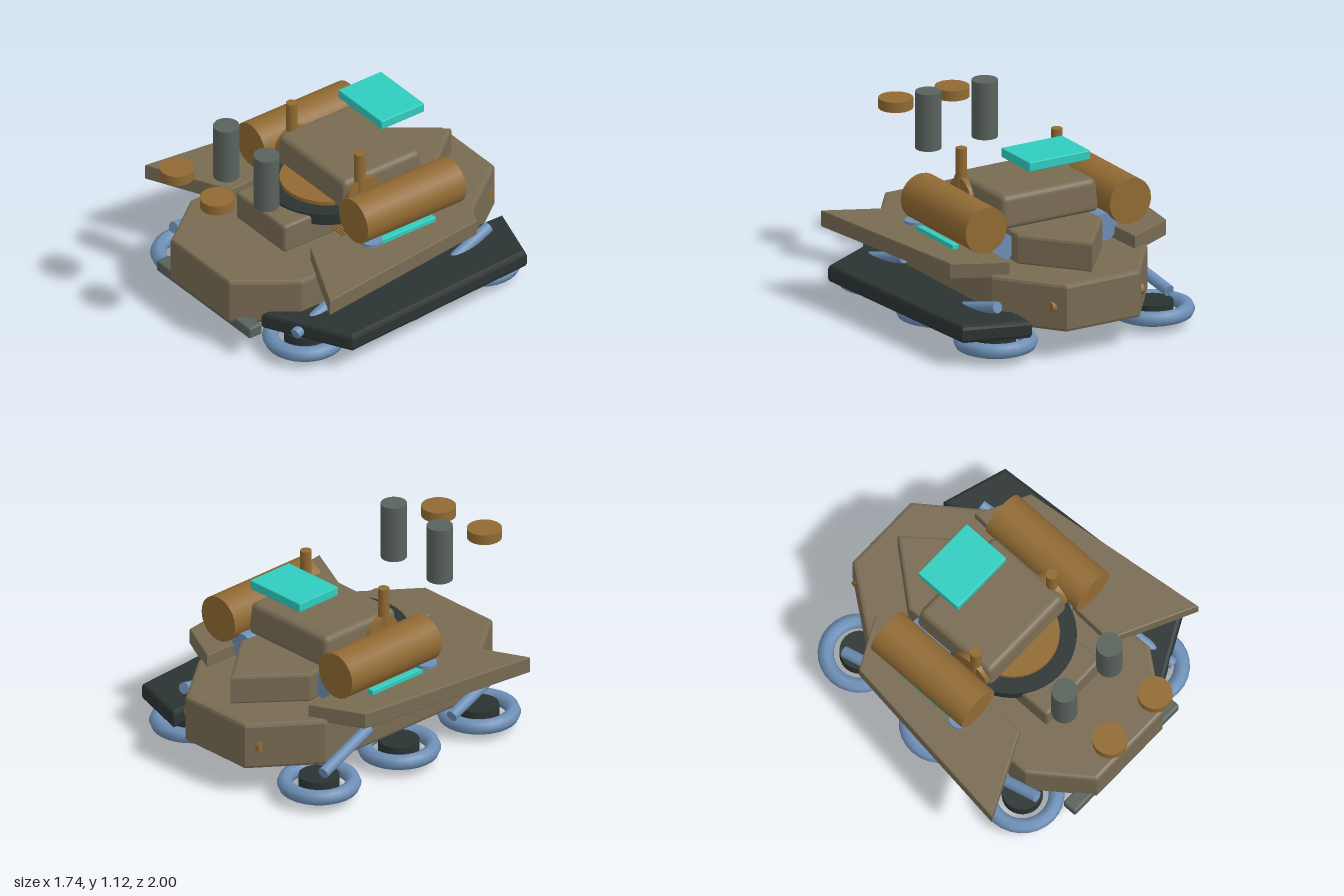
import * as THREE from 'three';
import { RoundedBoxGeometry } from 'three/addons/geometries/RoundedBoxGeometry.js';

const mat = (name, color) => {
  const m = new THREE.MeshStandardMaterial({ color });
  m.name = name;
  return m;
};

export function createModel() {
  const tan = mat('tan armour', 0x786b53);
  const ochre = mat('ochre fittings', 0x916a33);
  const blue = mat('blue running gear', 0x6d8fb6);
  const grey = mat('grey metal', 0x59625c);
  const dark = mat('dark rubber', 0x2b3433);
  const cyan = mat('cyan panel', 0x2fccbf);

  const CX = -0.02; // centre line of the vehicle
  const model = new THREE.Group();
  model.name = 'vehicle';

  const add = (name, geometry, material, x = 0, y = 0, z = 0) => {
    const mesh = new THREE.Mesh(geometry, material);
    mesh.name = name;
    mesh.position.set(x, y, z);
    model.add(mesh);
    return mesh;
  };

  // Bevelled plate from an [x, z] outline, between two heights
  const plate = (name, material, outline, y0, y1, bevel = 0.018) => {
    const shape = new THREE.Shape(outline.map(([x, z]) => new THREE.Vector2(x, -z)));
    const geometry = new THREE.ExtrudeGeometry(shape, {
      depth: y1 - y0 - 2 * bevel, bevelEnabled: true, bevelSize: bevel,
      bevelThickness: bevel, bevelOffset: -bevel, bevelSegments: 2,
    });
    geometry.rotateX(-Math.PI / 2);
    return add(name, geometry, material, 0, y0 + bevel, 0);
  };

  const box = (name, material, [x0, x1], [y0, y1], [z0, z1], r = 0.012) =>
    add(name, new RoundedBoxGeometry(x1 - x0, y1 - y0, z1 - z0, 2, r), material,
      (x0 + x1) / 2, (y0 + y1) / 2, (z0 + z1) / 2);

  // Upright cylinder between two heights
  const post = (name, material, x, z, r, y0, y1, sides = 24) =>
    add(name, new THREE.CylinderGeometry(r, r, y1 - y0, sides), material, x, (y0 + y1) / 2, z);

  // Cylinder between two points
  const rod = (name, material, a, b, r, sides = 16) => {
    const p = new THREE.Vector3(...a), q = new THREE.Vector3(...b);
    const dir = q.clone().sub(p);
    const mesh = add(name, new THREE.CylinderGeometry(r, r, dir.length(), sides), material);
    mesh.position.copy(p).add(q).multiplyScalar(0.5);
    mesh.quaternion.setFromUnitVectors(new THREE.Vector3(0, 1, 0), dir.normalize());
    return mesh;
  };

  // Mirror half an outline about the centre line
  const mirrored = (half) => [
    ...half.map(([x, z]) => [CX + x, z]),
    ...half.slice().reverse().map(([x, z]) => [CX - x, z]),
  ];

  // Hull with cut corners, rear bolts and front bumper
  plate('hull', tan, mirrored([[0.24, -1], [0.512, -0.64], [0.512, 0.56], [0.27, 0.88]]), 0.17, 0.45, 0.02);
  rod('rearBolts', ochre, [-0.32, 0.31, -0.92], [0.28, 0.31, -0.92], 0.034);
  box('frontBumper', grey, [-0.45, 0.41], [0.14, 0.21], [0.77, 0.86]);

  // Nose block and pointed tail deck
  box('noseBlock', tan, [-0.245, 0.205], [0.44, 0.62], [0, 0.46], 0.02);
  plate('tailDeck', tan, [[CX, -0.88], [0.26, -0.54], [0.25, -0.38], [-0.29, -0.38], [-0.30, -0.54]], 0.44, 0.62);

  // Turret ring, collar and tapered turret body
  post('turretRing', dark, CX, -0.01, 0.36, 0.565, 0.632, 40);
  post('turretCollar', ochre, CX, -0.01, 0.265, 0.62, 0.655, 40);
  const body = new RoundedBoxGeometry(0.645, 0.195, 0.565, 3, 0.035);
  const pos = body.attributes.position;
  for (let i = 0; i < pos.count; i++) {
    const s = 0.975 - 0.25 * pos.getY(i);
    pos.setX(i, pos.getX(i) * s);
    pos.setZ(i, pos.getZ(i) * s);
  }
  body.computeVertexNormals();
  add('turretBody', body, tan, CX, 0.717, -0.167);
  rod('turretTrunnion', ochre, [-0.355, 0.69, -0.02], [0.315, 0.69, -0.02], 0.12, 24);

  // Hatch panel over the turret
  box('hatchPanel', cyan, [-0.22, 0.18], [0.975, 1.03], [-0.54, -0.24], 0.006);

  // Dark skirt on the left flank
  plate('leftSkirt', dark, [[0.4, -0.92], [0.78, -0.8], [0.865, 0.485], [0.37, 0.745]], 0.145, 0.25, 0.024);

  for (const s of [-1, 1]) {
    const side = s > 0 ? 'left' : 'right';
    const X = (d) => CX + s * d;

    // Wing plate with its light strip and cap
    plate(side + 'Wing', tan,
      [[X(0.41), -0.67], [X(0.708), -0.52], [X(0.85), 0.617], [X(0.365), 0.385]], 0.428, 0.525, 0.008);
    const strip = X(0.557);
    box(side + 'LightStrip', cyan, [strip - 0.02, strip + 0.02], [0.4, 0.552], [-0.335, 0.055], 0.004);
    post(side + 'StripCap', blue, X(0.55), 0.1, 0.063, 0.552, 0.57);

    // Side drum and inner pipe
    rod(side + 'Drum', ochre, [X(0.473), 0.675, -0.523], [X(0.473), 0.675, 0.165], 0.135, 24);
    rod(side + 'Pipe', blue, [X(0.335), 0.53, -0.47], [X(0.335), 0.53, 0.1], 0.083, 20);

    // Antenna post, floating barrel and lamp disc
    post(side + 'AntennaPost', ochre, X(0.313), 0, 0.032, 0.6, 0.98, 16);
    post(side + 'Barrel', grey, X(0.185), 0.555, 0.074, 0.79, 1.125);
    post(side + 'LampDisc', ochre, X(0.185), 0.9, 0.098, 0.925, 0.985);

    // Three flat ring wheels with hubs
    for (const z of [-0.69, -0.075, 0.54]) {
      const ring = new THREE.TorusGeometry(0.192, 0.045, 8, 28).rotateX(Math.PI / 2);
      add(side + 'WheelRing', ring, blue, X(0.515), 0.086, z);
      post(side + 'WheelHub', dark, X(0.515), z, 0.115, 0.06, 0.135);
    }

    // Slanted suspension struts, opposite slopes on each flank
    for (const z of [-0.53, 0.46]) {
      rod(side + 'Strut', blue, [X(0.595), 0.185, z + s * 0.205], [X(0.53), 0.295, z - s * 0.205], 0.033);
    }
  }

  // Small feed lines beside the turret on the left
  for (const y of [0.488, 0.508, 0.528]) {
    rod('feedLine', ochre, [0.2, y, 0.13], [0.34, y, 0.13], 0.007, 8);
  }

  // Central drive disc under the hull
  post('driveDisc', blue, CX, -0.075, 0.245, 0, 0.12, 32);

  return model;
}
